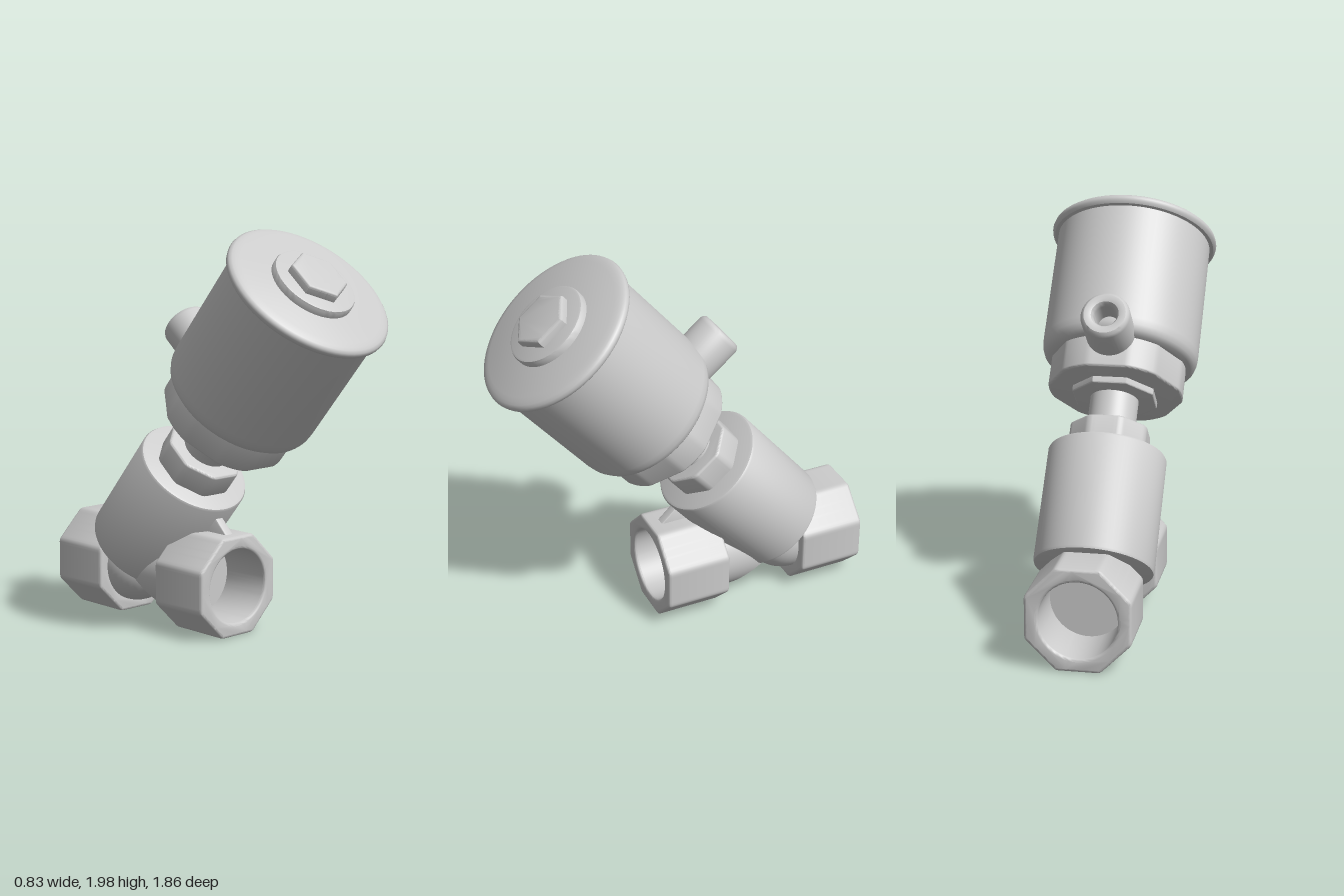
import * as THREE from 'three';
import { toCreasedNormals } from 'three/addons/utils/BufferGeometryUtils.js';

const material = new THREE.MeshStandardMaterial({ color: 0xcccccc });

function part(name, geometry, parent) {
  const mesh = new THREE.Mesh(toCreasedNormals(geometry, 0.6), material);
  mesh.name = name;
  parent.add(mesh);
  return mesh;
}

function lathe(points, segments = 72) {
  return new THREE.LatheGeometry(points.map(([r, y]) => new THREE.Vector2(r, y)), segments);
}

// Polygon prism along z from 0 to depth, corners clipped to a circle, optional bore
function prism({ sides, apothem, clip = 9, depth, bevel, phase = 0, bore = 0 }) {
  const points = [];
  const step = (2 * Math.PI) / sides;
  for (let i = 0; i < 144; i++) {
    const a = (i / 144) * 2 * Math.PI;
    const off = a - phase - Math.round((a - phase) / step) * step;
    const r = Math.min(clip, apothem / Math.cos(off));
    points.push(new THREE.Vector2(r * Math.cos(a), r * Math.sin(a)));
  }
  const shape = new THREE.Shape(points);
  if (bore) shape.holes.push(new THREE.Path().absarc(0, 0, bore, 0, Math.PI * 2, true));
  return new THREE.ExtrudeGeometry(shape, {
    depth: depth - 2 * bevel, bevelEnabled: true, bevelThickness: bevel, bevelSize: bevel,
    bevelOffset: -bevel, bevelSegments: 3, curveSegments: 32,
  }).translate(0, 0, bevel);
}

// The same prism standing on the local y axis
const upright = (options, y) => prism(options).rotateX(-Math.PI / 2).translate(0, y, 0);

export function createModel() {
  const model = new THREE.Group();
  model.name = 'angleValve';

  // Octagonal threaded pipe ends
  const end = { sides: 8, apothem: 0.248, clip: 0.266, bevel: 0.014, bore: 0.184 };
  part('frontPipeEnd', prism({ ...end, depth: 0.335 }), model).position.set(0, 0.248, -0.184);
  part('backPipeEnd', prism({ ...end, depth: 0.335 }), model).position.set(0, 0.248, -0.932);

  // Front neck: its far end is cut along the tilted base plane of the bonnet
  const neck = new THREE.CylinderGeometry(0.2, 0.2, 1, 64).rotateX(Math.PI / 2).translate(0, 0.25, 0);
  const pos = neck.attributes.position;
  for (let i = 0; i < pos.count; i++) {
    const cut = -0.159 + (-0.588 - (pos.getY(i) - 0.8) * 0.766) / 0.643;
    pos.setZ(i, pos.getZ(i) > 0 ? -0.12 : cut);
  }
  part('frontNeck', neck, model);

  // Back neck: rounded nose running into the back end
  const nose = [[0, -0.06], [0.2, -0.06]];
  for (let i = 0; i <= 12; i++) {
    const a = (i / 12) * Math.PI / 2;
    nose.push([0.2 * Math.cos(a), 0.2 * Math.sin(a)]);
  }
  part('backNeck', lathe(nose).rotateX(Math.PI / 2), model).position.set(0, 0.25, -0.595);

  // Web between front end and bonnet
  const web = new THREE.Shape([[0.105, 0.48], [0, 0.582], [-0.2, 0.48]].map(([z, y]) => new THREE.Vector2(z, y)));
  part('web', new THREE.ExtrudeGeometry(web, {
    depth: 0.03, bevelSize: 0.008, bevelThickness: 0.01, bevelOffset: -0.008, bevelSegments: 2,
  }).translate(0, 0, -0.015).rotateY(-Math.PI / 2), model);

  // Everything on the tilted stem axis, origin at the bonnet top
  const stem = new THREE.Group();
  stem.name = 'actuatorAssembly';
  stem.position.set(0, 0.8, -0.159);
  stem.rotation.x = THREE.MathUtils.degToRad(40);
  model.add(stem);

  part('bonnet', lathe([[0, -0.587], [0.27, -0.587], [0.282, -0.582], [0.286, -0.57],
    [0.286, -0.014], [0.28, -0.004], [0.268, 0], [0, 0]]), stem);
  part('bonnetNut', upright({ sides: 8, apothem: 0.187, clip: 0.198, depth: 0.15, bevel: 0.012 }, -0.02), stem);
  part('stemTube', lathe([[0.118, 0.1], [0.118, 0.32]]), stem);
  part('collar', upright({ sides: 8, apothem: 0.198, depth: 0.06, bevel: 0.006 }, 0.29), stem);
  part('actuatorBase', upright({
    sides: 6, apothem: 0.316, clip: 0.33, depth: 0.2, bevel: 0.012, phase: Math.PI / 2,
  }, 0.322), stem);

  // Actuator housing
  part('housing', lathe([[0, 0.478], [0.325, 0.478], [0.352, 0.484], [0.371, 0.502], [0.381, 0.528],
    [0.384, 0.56], [0.384, 1.18]]), stem);

  // Lid with rounded rim and raised centre boss
  part('lid', lathe([[0.38, 1.16], [0.402, 1.163], [0.413, 1.174], [0.416, 1.187], [0.412, 1.2],
    [0.4, 1.21], [0.385, 1.214], [0.365, 1.222], [0, 1.222]]), stem);
  part('lidBoss', lathe([[0.207, 1.21], [0.207, 1.25], [0.203, 1.258], [0.194, 1.261], [0, 1.261]]), stem);
  part('lidPlug', upright({ sides: 6, apothem: 0.126, depth: 0.08, bevel: 0.012 }, 1.224), stem);

  // Air port on the back of the housing, with a blind hole
  const port = part('airPort', lathe([[0.118, 0], [0.118, 0.215], [0.112, 0.23], [0.1, 0.24], [0.08, 0.241],
    [0.066, 0.236], [0.058, 0.224], [0.055, 0.205], [0.055, 0.08], [0, 0.08]], 48), stem);
  port.rotation.x = -Math.PI / 2;
  port.position.set(0, 0.495, -0.28);

  return model;
}
